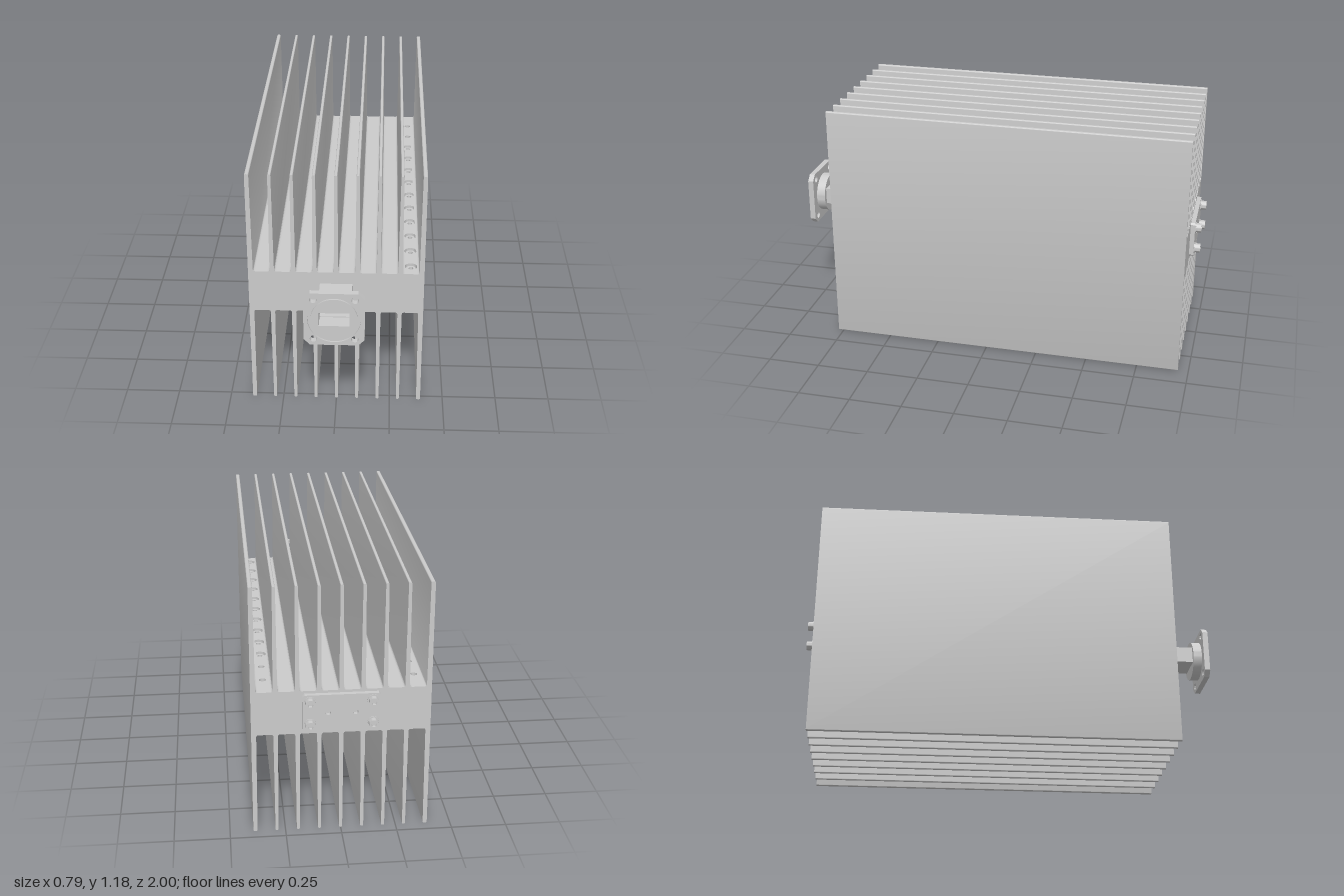
import * as THREE from 'three';
import { toCreasedNormals } from 'three/addons/utils/BufferGeometryUtils.js';

const material = new THREE.MeshStandardMaterial({ color: 0xcccccc });

// Main dimensions
const HEIGHT = 1.175, MID = 0.588;
const CORE_LOW = 0.485, CORE_HIGH = 0.69;
const BACK = -0.95, FRONT = 0.775;
const SIDE = 0.395;

function add(parent, name, geometry, x = 0, y = 0, z = 0) {
  const mesh = new THREE.Mesh(geometry, material);
  mesh.name = name;
  mesh.position.set(x, y, z);
  parent.add(mesh);
  return mesh;
}

function polygon(points) {
  return new THREE.Shape(points.map(([x, y]) => new THREE.Vector2(x, y)));
}

function rect(w, h) {
  return polygon([[-w / 2, -h / 2], [w / 2, -h / 2], [w / 2, h / 2], [-w / 2, h / 2]]);
}

function disc(r, x = 0, y = 0) {
  const shape = new THREE.Shape();
  shape.absarc(x, y, r, 0, Math.PI * 2, false);
  return shape;
}

// Rectangle with cut corners
function cutRect(w, h, c) {
  const a = w / 2, b = h / 2;
  return polygon([[-a + c, -b], [a - c, -b], [a, -b + c], [a, b - c],
    [a - c, b], [-a + c, b], [-a, b - c], [-a, -b + c]]);
}

function hexagon(r) {
  return polygon([0, 1, 2, 3, 4, 5].map(i => [r * Math.cos(i * Math.PI / 3), r * Math.sin(i * Math.PI / 3)]));
}

// Solid plate along +z, with holes and smooth round walls
function plate(shape, depth, holes = [], segments = 12) {
  shape.holes.push(...holes);
  const g = new THREE.ExtrudeGeometry(shape, { depth, bevelEnabled: false, curveSegments: segments });
  return toCreasedNormals(g, 0.6);
}

// Tapered fin with rounded tip and root fillets; root on y = 0
function innerFin(length) {
  const tip = 0.007, root = 0.010, f = 0.010, r = 0.006;
  const s = new THREE.Shape();
  s.moveTo(-root - f, 0);
  s.lineTo(root + f, 0);
  s.quadraticCurveTo(root, 0, root, f);
  s.lineTo(tip, length - r);
  s.quadraticCurveTo(tip, length, 0, length);
  s.quadraticCurveTo(-tip, length, -tip, length - r);
  s.lineTo(-root, f);
  s.quadraticCurveTo(-root, 0, -root - f, 0);
  return plate(s, FRONT - BACK, [], 5);
}

// Full-height side wall, flat outside and tapered inside (for the +x side)
function sideWall() {
  const inTip = 0.376, inRoot = 0.373, r = 0.006, f = 0.010;
  const s = new THREE.Shape();
  s.moveTo(SIDE - r, 0);
  s.quadraticCurveTo(SIDE, 0, SIDE, r);
  s.lineTo(SIDE, HEIGHT - r);
  s.quadraticCurveTo(SIDE, HEIGHT, SIDE - r, HEIGHT);
  s.lineTo(inTip + r, HEIGHT);
  s.quadraticCurveTo(inTip, HEIGHT, inTip, HEIGHT - r);
  s.lineTo(inRoot, CORE_HIGH + f);
  s.quadraticCurveTo(inRoot, CORE_HIGH, inRoot - f, CORE_HIGH);
  s.lineTo(inRoot - f, CORE_LOW);
  s.quadraticCurveTo(inRoot, CORE_LOW, inRoot, CORE_LOW - f);
  s.lineTo(inTip, r);
  s.quadraticCurveTo(inTip, 0, inTip + r, 0);
  return plate(s, FRONT - BACK, [], 5);
}

// Socket head cap screw pointing along +z, base on z = 0
function capScrew(name, radius, height) {
  const g = new THREE.Group();
  g.name = name;
  const socket = height * 0.6;
  add(g, 'screwHeadBase', plate(disc(radius), height - socket));
  add(g, 'screwHeadRim', plate(disc(radius), socket, [hexagon(radius * 0.55)]), 0, 0, height - socket);
  return g;
}

function buildHeatSink() {
  const g = new THREE.Group();
  g.name = 'heatSink';

  // Core slab with two rows of holes: ten screw counterbores and two through holes per row
  const boltX = 0.335, bore = 0.045;
  const through = [], bores = [], screwSpots = [];
  for (const side of [-1, 1]) {
    for (let i = 0; i < 12; i++) {
      const z = -0.82 + i * 0.139;
      if (i < 2) through.push([side * boltX, z]);
      else screwSpots.push([side * boltX, z]);
    }
  }
  const slab = () => polygon([[-0.363, -FRONT], [0.363, -FRONT], [0.363, -BACK], [-0.363, -BACK]]);
  const holesAt = (spots, r) => spots.map(([x, z]) => disc(r, x, -z));
  const lower = plate(slab(), CORE_HIGH - bore - CORE_LOW, holesAt(through, 0.015)).rotateX(-Math.PI / 2);
  add(g, 'coreLower', lower, 0, CORE_LOW, 0);
  bores.push(...holesAt(through, 0.015), ...holesAt(screwSpots, 0.028));
  const upper = plate(slab(), bore, bores).rotateX(-Math.PI / 2);
  add(g, 'coreUpper', upper, 0, CORE_HIGH - bore, 0);

  for (const [x, z] of screwSpots) {
    const screw = capScrew('coverScrew', 0.022, 0.036);
    screw.rotation.x = -Math.PI / 2;
    screw.position.set(x, CORE_HIGH - bore, z);
    g.add(screw);
  }

  // Fins above and below the core
  const upFin = innerFin(HEIGHT - CORE_HIGH);
  const downFin = innerFin(CORE_LOW).rotateZ(Math.PI);
  for (let i = -3; i <= 3; i++) {
    add(g, 'upperFin', upFin, i * 0.096, CORE_HIGH, BACK);
    add(g, 'lowerFin', downFin, i * 0.096, CORE_LOW, BACK);
  }

  // Outer walls, the second one turned half a turn about the vertical axis
  const wall = sideWall();
  add(g, 'leftWall', wall, 0, 0, BACK);
  add(g, 'rightWall', wall, 0, 0, FRONT).rotation.y = Math.PI;
  return g;
}

function buildWaveguide() {
  const g = new THREE.Group();
  g.name = 'waveguidePort';
  g.position.y = MID;
  const opening = () => rect(0.134, 0.066);
  const boltHoles = () => [[1, 1], [1, -1], [-1, 1], [-1, -1]].map(([x, y]) => disc(0.016, x * 0.091, y * 0.1));
  const flange = () => cutRect(0.268, 0.264, 0.028);

  add(g, 'waveguideTube', plate(rect(0.146, 0.08), 0.93 - FRONT, [opening()]), 0, 0.004, FRONT);
  add(g, 'hub', plate(disc(0.096), 0.043, [opening()], 32), 0, 0, 0.93);
  // Flange with a shallow ring groove in its face
  add(g, 'flangeBack', plate(flange(), 0.019, [opening(), ...boltHoles()], 32), 0, 0, 0.973);
  add(g, 'flangeFace', plate(flange(), 0.008, [disc(0.117), ...boltHoles()], 32), 0, 0, 0.992);
  add(g, 'flangeCentre', plate(disc(0.103), 0.008, [opening()], 32), 0, 0, 0.992);
  return g;
}

function buildBackPlate() {
  const g = new THREE.Group();
  g.name = 'backCover';
  g.position.set(0, 0.592, BACK);
  g.rotation.y = Math.PI;
  const thickness = 0.021;
  add(g, 'coverPlate', plate(cutRect(0.34, 0.172, 0.008), thickness, [disc(0.012, -0.06), disc(0.012, 0.06)]));
  for (const x of [-0.138, 0.138]) {
    for (const y of [-0.053, 0.053]) {
      add(g, 'washer', plate(disc(0.027), 0.004), x, y, thickness);
      const screw = capScrew('plateScrew', 0.022, 0.025);
      screw.position.set(x, y, thickness + 0.004);
      g.add(screw);
    }
  }
  return g;
}

export function createModel() {
  const model = new THREE.Group();
  model.name = 'finnedWaveguideLoad';
  model.add(buildHeatSink(), buildWaveguide(), buildBackPlate());
  return model;
}
